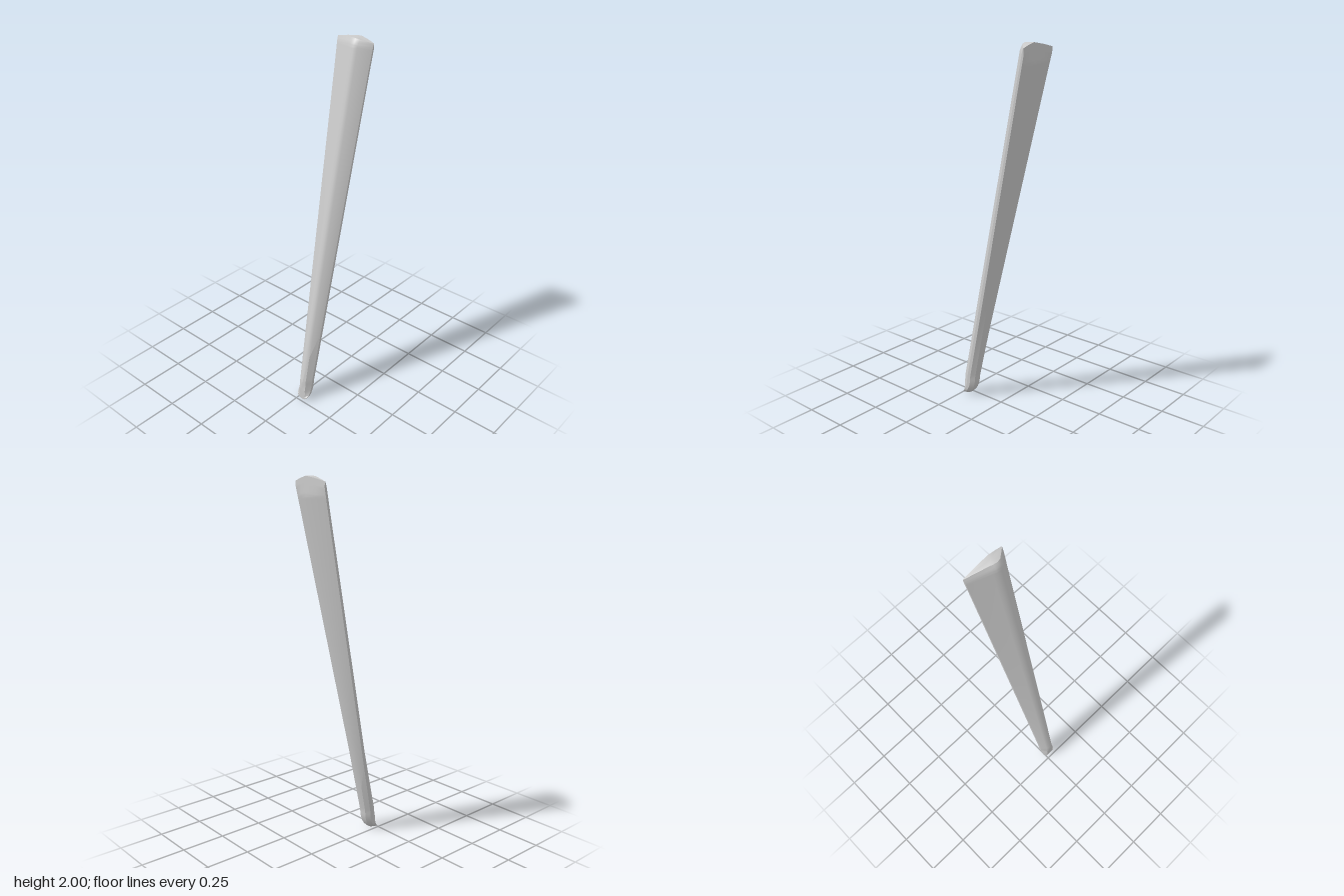
import * as THREE from 'three';
import { toCreasedNormals } from 'three/addons/utils/BufferGeometryUtils.js';

const { lerp, clamp } = THREE.MathUtils;
const CUT = 0.233; // flat cuts at the front foot and the rear of the head

// Cross-section, left edge round the front ridge to the back:
// [x at foot, depth at foot, x at head, depth at head]
const SECTION = [
  [-0.008, 0.025, -0.114, 0.010],
  [-0.010, 0.045, -0.115, 0.022],
  [0.008, 0.074, 0.000, 0.074],
  [0.020, 0.081, 0.018, 0.083],
  [0.035, 0.083, 0.040, 0.086],
  [0.050, 0.076, 0.060, 0.078],
  [0.068, 0.045, 0.112, 0.022],
  [0.066, 0.025, 0.111, 0.010],
  [0.048, 0.003, 0.070, 0.002],
  [0.030, 0.000, 0.030, 0.000],
  [0.010, 0.003, -0.050, 0.002],
];

// Back line of the leaning leg, curving forward into the rounded foot
function backZ(y) {
  if (y > 0.12) return 0.15 - (y - 0.12) * 0.2152;
  return CUT - 0.083 * Math.sqrt(1 - ((0.12 - y) / 0.12) ** 2);
}

// The head is highest over the ridge and drops towards both edges
function headHeight(x) {
  const t = x < 0.03 ? (0.03 - x) / 0.145 : (x - 0.03) / 0.082;
  return 2 - 0.025 * Math.pow(t, 1.3);
}

function sectionPoint([x0, d0, x1, d1], level) {
  const t = level / 2;
  let x = lerp(x0, x1, t);
  let d = lerp(d0, d1, t);
  // rounded toe
  if (level < 0.04) x = 0.03 + (x - 0.03) * Math.sqrt(1 - (1 - level / 0.04) ** 2);
  // softened front lip of the head
  if (level > 1.96) d *= 1 - 0.15 * ((level - 1.96) / 0.04) ** 2;
  let y = level;
  if (level > 1.85) y = 1.85 + (level - 1.85) * (headHeight(x) - 1.85) / 0.15;
  return [x, y, clamp(backZ(y) + d, -CUT, CUT)];
}

function legGeometry() {
  // rings are closer together at the foot and head
  const levels = [];
  for (let i = 0; i < 16; i++) levels.push(0.14 * (i / 16) ** 2);
  for (let i = 0; i < 12; i++) levels.push(lerp(0.14, 1.85, i / 12));
  for (let i = 0; i <= 20; i++) levels.push(lerp(1.85, 2, i / 20));

  const n = SECTION.length;
  const positions = [];
  const index = [];
  levels.forEach((level, j) => {
    SECTION.forEach((s, i) => {
      positions.push(...sectionPoint(s, level));
      if (j === levels.length - 1) return;
      const a = j * n + i, b = j * n + (i + 1) % n;
      if (j > 0) index.push(a, b, b + n);
      index.push(a, b + n, a + n);
    });
  });

  // head cap
  const centre = positions.length / 3;
  const last = centre - n;
  positions.push(0.03, 2, -0.21);
  for (let i = 0; i < n; i++) index.push(last + i, last + (i + 1) % n, centre);

  const geometry = new THREE.BufferGeometry();
  geometry.setAttribute('position', new THREE.Float32BufferAttribute(positions, 3));
  geometry.setIndex(index);
  return toCreasedNormals(geometry, 0.55);
}

export function createModel() {
  const group = new THREE.Group();
  const material = new THREE.MeshStandardMaterial({ color: 0xcccccc });
  const leg = new THREE.Mesh(legGeometry(), material);
  leg.name = 'taperedLeg';
  group.add(leg);
  return group;
}
